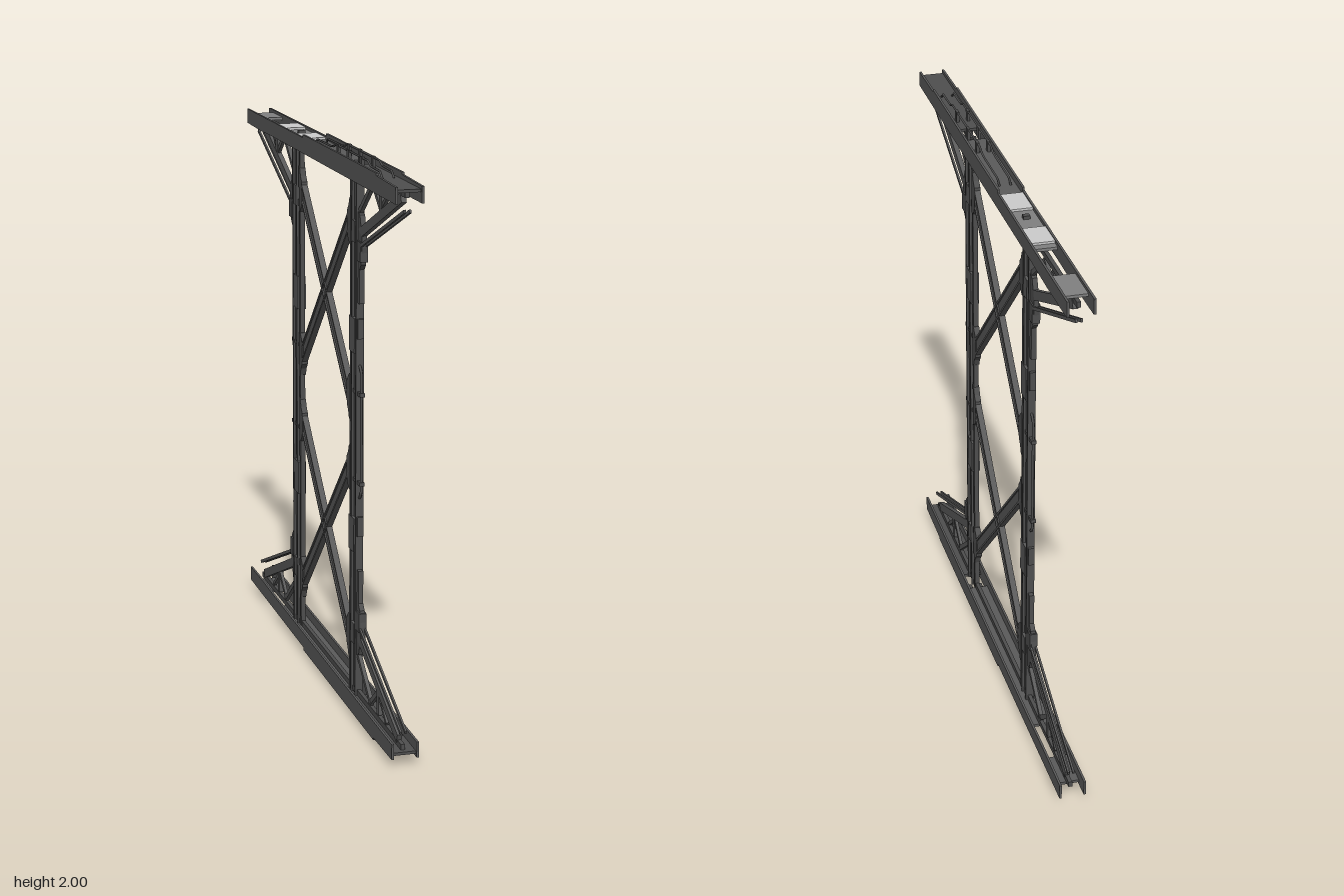
import * as THREE from 'three';

const paint = (color) => new THREE.MeshStandardMaterial({ color, side: THREE.DoubleSide });
const steel = paint(0x5a5a5a), dark = paint(0x4e4e4e), worn = paint(0x808080), pale = paint(0xc8c8c8);

export function createModel() {
  const model = new THREE.Group();

  const add = (name, geometry, parent, material) => {
    const mesh = new THREE.Mesh(geometry, material);
    mesh.name = name;
    parent.add(mesh);
    return mesh;
  };
  // Box given by its extents on each axis
  const block = (name, parent, [x0, x1], [y0, y1], [z0, z1], material = dark) =>
    add(name, new THREE.BoxGeometry(Math.abs(x1 - x0), Math.abs(y1 - y0), Math.abs(z1 - z0)), parent, material)
      .position.set((x0 + x1) / 2, (y0 + y1) / 2, (z0 + z1) / 2);
  // Straight bar between two [z, y] points
  const bar = (name, parent, a, b, width, thick, x = 0) => {
    const dz = b[0] - a[0], dy = b[1] - a[1];
    const mesh = add(name, new THREE.BoxGeometry(thick, width, Math.hypot(dz, dy)), parent, steel);
    mesh.position.set(x, (a[1] + b[1]) / 2, (a[0] + b[0]) / 2);
    mesh.rotation.x = -Math.atan2(dy, dz);
  };
  // Flat plate with a [z, y] outline, centred on x
  const plate = (name, parent, outline, thick, material, x = 0) => {
    const shape = new THREE.Shape(outline.map(([z, y]) => new THREE.Vector2(z, y)));
    const geo = new THREE.ExtrudeGeometry(shape, { depth: thick, bevelEnabled: false });
    geo.translate(0, 0, -thick / 2).rotateY(-Math.PI / 2);
    add(name, geo, parent, material).position.x = x;
  };
  // Round pipe through [z, y] points
  const pipe = (name, parent, points, radius, x = 0) => {
    const path = new THREE.CurvePath();
    const v = points.map(([z, y]) => new THREE.Vector3(x, y, z));
    for (let i = 1; i < v.length; i++) path.add(new THREE.LineCurve3(v[i - 1], v[i]));
    add(name, new THREE.TubeGeometry(path, 24, radius, 6), parent, dark);
  };

  // Horizontal beams: side flanges, web plates and raised rails
  for (const s of [1, -1]) {
    const Y = (y) => 1 + s * (y - 1);
    const beam = new THREE.Group();
    beam.name = s > 0 ? 'topBeam' : 'bottomBeam';
    model.add(beam);
    const outline = [[1, 1.915], [1, 1.97], [0.78, 1.975], [0.78, 1.983], [-0.155, 1.983],
      [-0.155, 1.972], [-1, 1.97], [-1, 1.915], [-0.78, 1.912], [-0.6, 1.915]];
    for (const x of [-0.044, 0.044]) {
      plate('flange', beam, outline.map(([z, y]) => [z, Y(y)]), 0.008, steel, x);
    }
    const web = (z0, z1, material, y0 = 1.95, y1 = 1.96) =>
      block('web', beam, [-0.041, 0.041], [Y(y0), Y(y1)], [z0, z1], material);
    // Only the upper beam has lighter, worn plates
    const wornWeb = s > 0 ? worn : steel, paleWeb = s > 0 ? pale : steel;
    web(-0.94, -0.79, wornWeb);
    web(-0.59, -0.16, wornWeb);
    web(-0.16, 0.34, steel);
    web(0.44, 0.99, dark);
    web(-0.56, -0.44, paleWeb, 1.96, 1.968);
    web(-0.29, -0.16, paleWeb, 1.96, 1.968);
    block('webStud', beam, [-0.012, 0.012], [Y(1.96), Y(1.972)], [-0.36, -0.34]);
    block('spine', beam, [-0.007, 0.007], [Y(1.93), Y(1.95)], [-0.97, 0.97]);
    for (const x of [-0.02, 0.02]) {
      pipe('rail', beam, [[0.76, 1.96], [0.74, 1.98], [0.62, 1.982], [0.59, 1.995], [0.18, 1.995],
        [0.16, 1.98], [-0.06, 1.978], [-0.08, 1.96]].map(([z, y]) => [z, Y(y)]), 0.004, x);
      for (const z of [0.52, 0.36, 0.23]) {
        block('railClip', beam, [x - 0.005, x + 0.005], [Y(1.955), Y(1.999)], [z - 0.012, z + 0.012]);
      }
    }
  }

  // Columns with channel section, inner rod, boxes and conduit
  for (const t of [1, -1]) {
    const column = new THREE.Group();
    column.name = t > 0 ? 'frontColumn' : 'backColumn';
    model.add(column);
    const Z = (a, b) => [t * a, t * b];
    const full = [0.045, 1.955];
    block('columnWeb', column, [-0.005, 0.005], full, Z(0.37, 0.435));
    block('outerFlange', column, [-0.014, 0.014], full, Z(0.425, 0.435));
    block('innerFlange', column, [-0.014, 0.014], full, Z(0.37, 0.38));
    block('innerRod', column, [-0.009, 0.009], full, Z(0.338, 0.354));
    for (const y of [0.3, 1.7]) {
      block('rodTie', column, [-0.008, 0.008], [y - 0.012, y + 0.012], Z(0.345, 0.38));
    }
    for (const y of [0.64, 1.36]) {
      block('junctionBox', column, [-0.015, 0.015], [y - 0.062, y + 0.062], Z(0.35, 0.415), steel);
    }
    for (const y of [0.275, 1.725]) {
      block('columnBox', column, [-0.015, 0.015], [y - 0.037, y + 0.037], Z(0.375, 0.415), steel);
    }
    for (const y of [0.68, 1.39]) {
      block('outerBox', column, [-0.011, 0.011], [y - 0.035, y + 0.035], Z(0.43, 0.447));
    }
    pipe('conduit', column, [[0.43, 0.78], [0.455, 0.8], [0.457, 1.24], [0.43, 1.26]]
      .map(([z, y]) => [t * z, y]), 0.005);
    for (const y of [0.84, 1.16]) {
      block('conduitClip', column, [-0.009, 0.009], [y - 0.007, y + 0.007], Z(0.34, 0.466));
    }

    // Corner brackets at the top and bottom of the column
    for (const s of [1, -1]) {
      const P = (z, y) => [t * z, 1 + s * (y - 1)];
      const bracket = new THREE.Group();
      bracket.name = 'cornerBracket';
      model.add(bracket);
      plate('bracketGusset', bracket, [P(0.43, 1.8), P(0.46, 1.79), P(0.485, 1.72), P(0.485, 1.68),
        P(0.475, 1.62), P(0.455, 1.6), P(0.455, 1.48), P(0.43, 1.48)], 0.018, dark);
      block('gussetPad', bracket, [-0.014, 0.014], [P(0, 1.63)[1], P(0, 1.7)[1]], Z(0.44, 0.482));
      bar('mainStrut', bracket, P(0.45, 1.725), P(0.93, 1.925), 0.034, 0.018);
      bar('upperStrut', bracket, P(0.44, 1.8), P(0.6, 1.925), 0.018, 0.014);
      for (const x of [-0.009, 0.009]) {
        bar('stayRod', bracket, P(0.47, 1.685), P(0.975, 1.887), 0.012, 0.007, x);
      }
      bar('strutPost', bracket, P(0.695, 1.82), P(0.695, 1.925), 0.026, 0.016);
      bar('strutTie', bracket, P(0.695, 1.84), P(0.585, 1.925), 0.018, 0.012);
      bar('strutTie', bracket, P(0.7, 1.855), P(0.79, 1.925), 0.014, 0.012);

      // Gussets where the cross braces meet the column
      for (const [y, m] of [[1.75, 1], [1.13, -1]]) {
        const Q = (z, d) => P(z, y + m * d);
        plate('braceGusset', bracket, [Q(0.35, 0.09), Q(0.335, 0.08), Q(0.325, 0.055), Q(0.308, 0.035),
          Q(0.305, -0.03), Q(0.315, -0.06), Q(0.335, -0.08), Q(0.35, -0.08)], 0.022, dark);
      }
    }
  }

  // Two X braces, one above the other
  for (const yc of [0.56, 1.44]) {
    const brace = new THREE.Group();
    brace.name = 'crossBrace';
    model.add(brace);
    const d = 0.325;
    for (const m of [1, -1]) {
      bar('braceWeb', brace, [-0.335, yc - m * d], [0.335, yc + m * d], 0.048, 0.012);
      for (const e of [-0.03, 0.03]) {
        bar('braceFlange', brace, [-0.335, yc - m * d + e], [0.335, yc + m * d + e], 0.008, 0.022);
      }
    }
  }
  return model;
}
